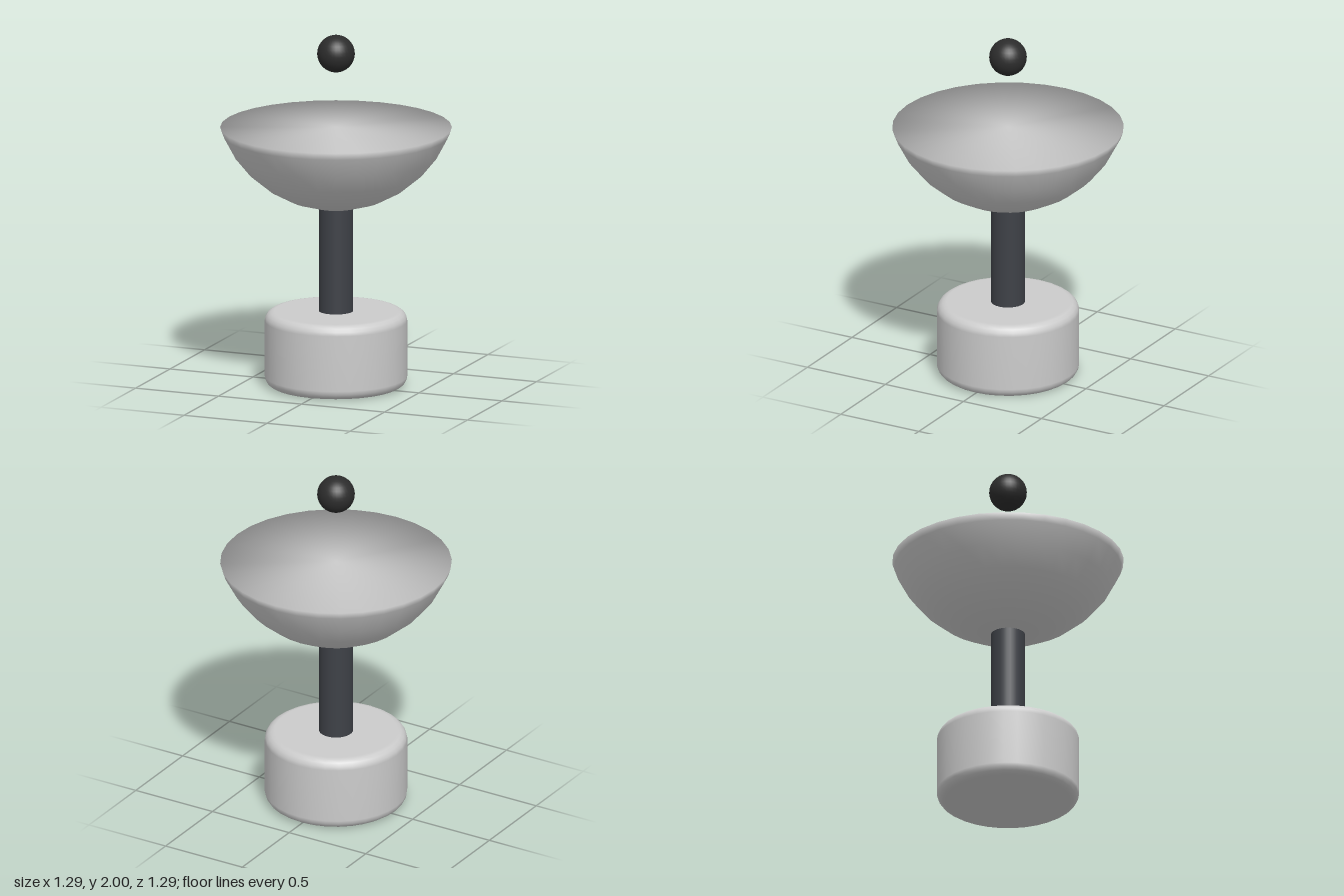
import * as THREE from 'three';

const material = (color) => new THREE.MeshStandardMaterial({ color });

function part(name, geometry, mat, y = 0) {
  const mesh = new THREE.Mesh(geometry, mat);
  mesh.name = name;
  mesh.position.y = y;
  return mesh;
}

// Drum with rounded top and bottom edges
function drumGeometry(radius, height, fillet, steps = 4) {
  const points = [new THREE.Vector2(0, 0)];
  for (const [cy, start] of [[fillet, -Math.PI / 2], [height - fillet, 0]]) {
    for (let i = 0; i <= steps; i++) {
      const a = start + (i / steps) * Math.PI / 2;
      points.push(new THREE.Vector2(radius - fillet + fillet * Math.cos(a), cy + fillet * Math.sin(a)));
    }
  }
  points.push(new THREE.Vector2(0, height));
  return new THREE.LatheGeometry(points, 32);
}

// Lower part of a sphere, closed by a flat top
function bowlGeometry(radius, centreY, rimRadius, rimY) {
  const points = [];
  for (let i = 0; i <= 6; i++) {
    const a = (i * Math.PI) / 16;
    points.push(new THREE.Vector2(radius * Math.sin(a), centreY - radius * Math.cos(a)));
  }
  points.push(new THREE.Vector2(rimRadius, rimY), new THREE.Vector2(0, rimY));
  const geometry = new THREE.LatheGeometry(points, 32);

  // Soft shading across the rim: its normals lean outwards
  const { position, normal } = geometry.attributes;
  const rim = points.length - 2;
  for (let i = rim; i < position.count; i += points.length) {
    const n = new THREE.Vector3(position.getX(i) / rimRadius, 0.2, position.getZ(i) / rimRadius).normalize();
    normal.setXYZ(i, n.x, n.y, n.z);
  }
  return geometry;
}

export function createModel() {
  const model = new THREE.Group();
  model.name = 'pedestalBowl';
  const grey = material(0xcccccc);

  model.add(
    part('base', drumGeometry(0.397, 0.425, 0.055), grey),
    part('stem', new THREE.CylinderGeometry(0.095, 0.095, 0.61, 32), material(0x3e4147), 0.72),
    part('bowl', bowlGeometry(0.684, 1.697, 0.645, 1.475), grey),
    part('floatingBall', new THREE.SphereGeometry(0.105, 32, 16), material(0x2c2c2c), 1.895),
  );
  return model;
}
